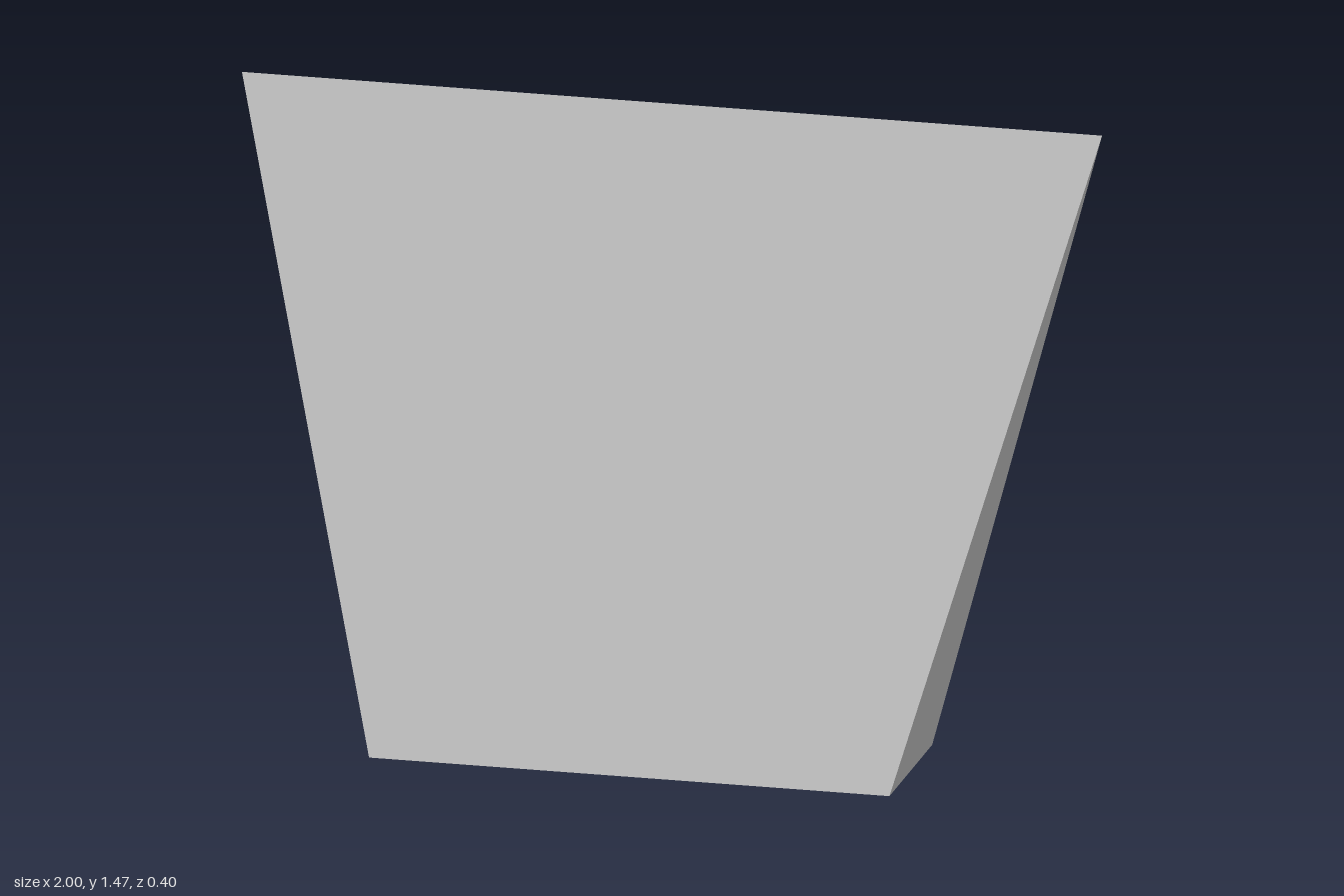
import * as THREE from 'three';

const H = 1.47, D = 0.2, T = 0.046;   // height, half depth, wall thickness
const RIM = T * H / (2 * D);          // height of the solid band along the back top
const edge = (y) => 0.605 + 0.395 * y / H; // outer half width at height y

// Solid from a (z, y) profile, spanning x from left(y) to right(y)
function prism(name, profile, left, right, material) {
  const shape = new THREE.Shape(profile.map(([z, y]) => new THREE.Vector2(-z, y)));
  const geo = new THREE.ExtrudeGeometry(shape, { depth: 1, bevelEnabled: false });
  const p = geo.attributes.position;
  for (let i = 0; i < p.count; i++) {
    const a = p.getX(i), y = p.getY(i), s = p.getZ(i);
    p.setXYZ(i, left(y) + (right(y) - left(y)) * s, y, -a);
  }
  geo.computeVertexNormals();
  const mesh = new THREE.Mesh(geo, material);
  mesh.name = name;
  return mesh;
}

export function createModel() {
  const group = new THREE.Group();
  group.name = 'ribbedWedgePanel';
  const grey = new THREE.MeshStandardMaterial({ color: 0xc0c0c0 });
  grey.name = 'grey';

  // Sloping front plate, flaring towards the top
  const plate = [[D, 0], [-D, H], [-D, H - RIM], [D - T, 0]];
  group.add(prism('frontPlate', plate, (y) => -edge(y), edge, grey));

  // Triangular walls behind the plate
  const wall = [[D - T, 0], [-D, H - RIM], [-D, 0]];
  group.add(prism('leftSide', wall, (y) => edge(y) - T, edge, grey));
  group.add(prism('rightSide', wall, (y) => -edge(y), (y) => T - edge(y), grey));
  [-0.364, 0, 0.364].forEach((x, i) => {
    group.add(prism('rib' + (i + 1), wall, () => x - T / 2, () => x + T / 2, grey));
  });
  return group;
}
